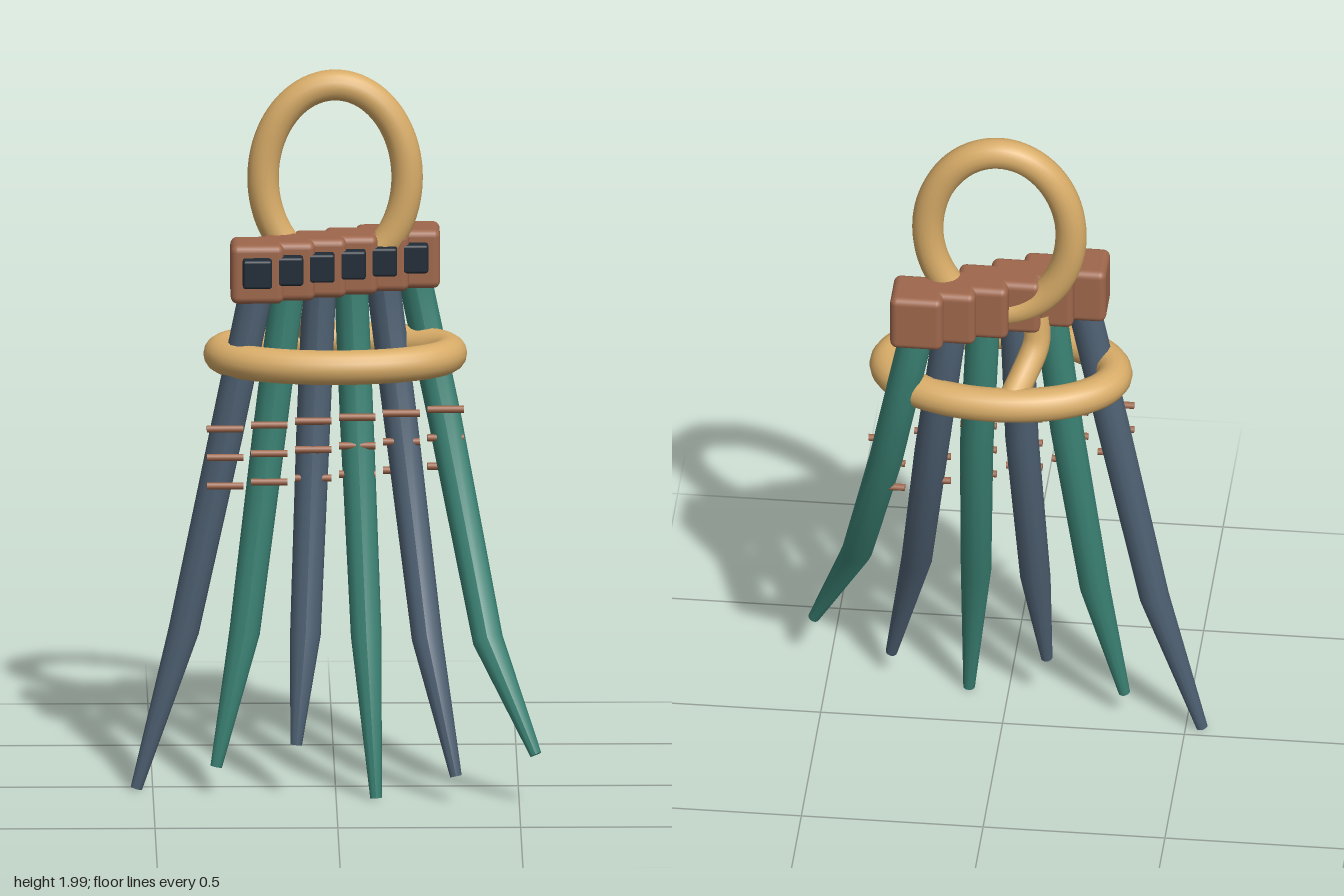
import * as THREE from 'three';
import { RoundedBoxGeometry } from 'three/addons/geometries/RoundedBoxGeometry.js';

const paint = (name, color) => {
  const m = new THREE.MeshStandardMaterial({ color });
  m.name = name;
  return m;
};
const V = (x, y, z) => new THREE.Vector3(x, y, z);
const lerp = THREE.MathUtils.lerp;

// Closed round tube along an ellipse; point(c, s) places each sample
function ellipseTube(point, radius) {
  const pts = [];
  for (let i = 0; i < 32; i++) {
    const a = (i / 32) * Math.PI * 2;
    pts.push(point(Math.cos(a), Math.sin(a)));
  }
  return new THREE.TubeGeometry(new THREE.CatmullRomCurve3(pts, true), 96, radius, 16, true);
}

// Tapered limb with sharp bends: a cylinder whose rings follow a spine
function limb(spine, radii) {
  const n = spine.length - 1;
  const geo = new THREE.CylinderGeometry(1, 1, n, 12, n);
  const pos = geo.attributes.position;
  const frames = spine.map((p, k) => {
    const t = V(0, 0, 0);
    if (k > 0) t.add(spine[k - 1].clone().sub(p).normalize());
    if (k < n) t.add(p.clone().sub(spine[k + 1]).normalize());
    return new THREE.Quaternion().setFromUnitVectors(V(0, 1, 0), t.normalize());
  });
  const v = V(0, 0, 0);
  for (let i = 0; i < pos.count; i++) {
    v.fromBufferAttribute(pos, i);
    const k = Math.round(n / 2 - v.y);
    v.y = 0;
    v.multiplyScalar(radii[k]).applyQuaternion(frames[k]).add(spine[k]);
    pos.setXYZ(i, v.x, v.y, v.z);
  }
  geo.computeVertexNormals();
  return geo;
}

export function createModel() {
  const model = new THREE.Group();
  const tan = paint('tan', 0xd8ac68);
  const brown = paint('brown', 0x9e674c);
  const dark = paint('dark navy', 0x1f2b36);
  const slate = paint('slate', 0x4e6072);
  const teal = paint('teal', 0x3b8274);

  const add = (name, geo, mat, x = 0, y = 0, z = 0) => {
    const mesh = new THREE.Mesh(geo, mat);
    mesh.name = name;
    mesh.position.set(x, y, z);
    model.add(mesh);
    return mesh;
  };

  // Upright hanging loop and level hoop around the strands
  add('hangingLoop', ellipseTube((c, s) => V(0.197 * c, 1.698 + 0.259 * s, -0.078), 0.043), tan);
  add('hoop', ellipseTube((c, s) => V(0.313 * c, 1.213, -0.038 - 0.175 * s), 0.048), tan);

  // Short cord joining the blocks to the back of the hoop
  const cord = new THREE.CatmullRomCurve3([
    V(-0.1, 1.42, -0.06), V(-0.1, 1.33, -0.08), V(-0.07, 1.26, -0.14), V(-0.04, 1.215, -0.21),
  ]);
  add('cord', new THREE.TubeGeometry(cord, 20, 0.038, 12), tan);

  const blockGeo = new RoundedBoxGeometry(0.145, 0.165, 0.135, 3, 0.02);
  const plateGeo = new RoundedBoxGeometry(0.08, 0.08, 0.06, 2, 0.008);
  const rodGeo = new THREE.CylinderGeometry(0.01, 0.01, 0.1, 10).rotateZ(Math.PI / 2);
  const tipHeights = [0.01, 0.08, 0.15];

  for (let i = 0; i < 6; i++) {
    const t = i / 5;
    const f = 2 * t - 1;
    const z = lerp(0.03, -0.153, t);

    // Stepped block with a dark stud on its front
    add('block', blockGeo, brown, 0.215 * f, 1.4625, z);
    add('stud', plateGeo, dark, 0.215 * f, 1.472, z + 0.073);

    // Hanging strand with two bends
    const spine = [
      V(0.21 * f, 1.44, z),
      V(0.3 * f, 1.0, lerp(0.03, -0.195, t)),
      V(0.415 * f, 0.45, lerp(0.018, 0.148, t)),
      V(0.545 * f, tipHeights[i % 3], lerp(0.035, 0.245, t)),
    ];
    add('strand', limb(spine, [0.046, 0.046, 0.042, 0.016]), i % 2 ? teal : slate);

    // Three cross rods on the front of the strand
    for (const y of [1.03, 0.95, 0.87]) {
      add('crossRod', rodGeo, brown, 0.303 * f, y, lerp(0.086, -0.142, t));
    }
  }
  return model;
}
